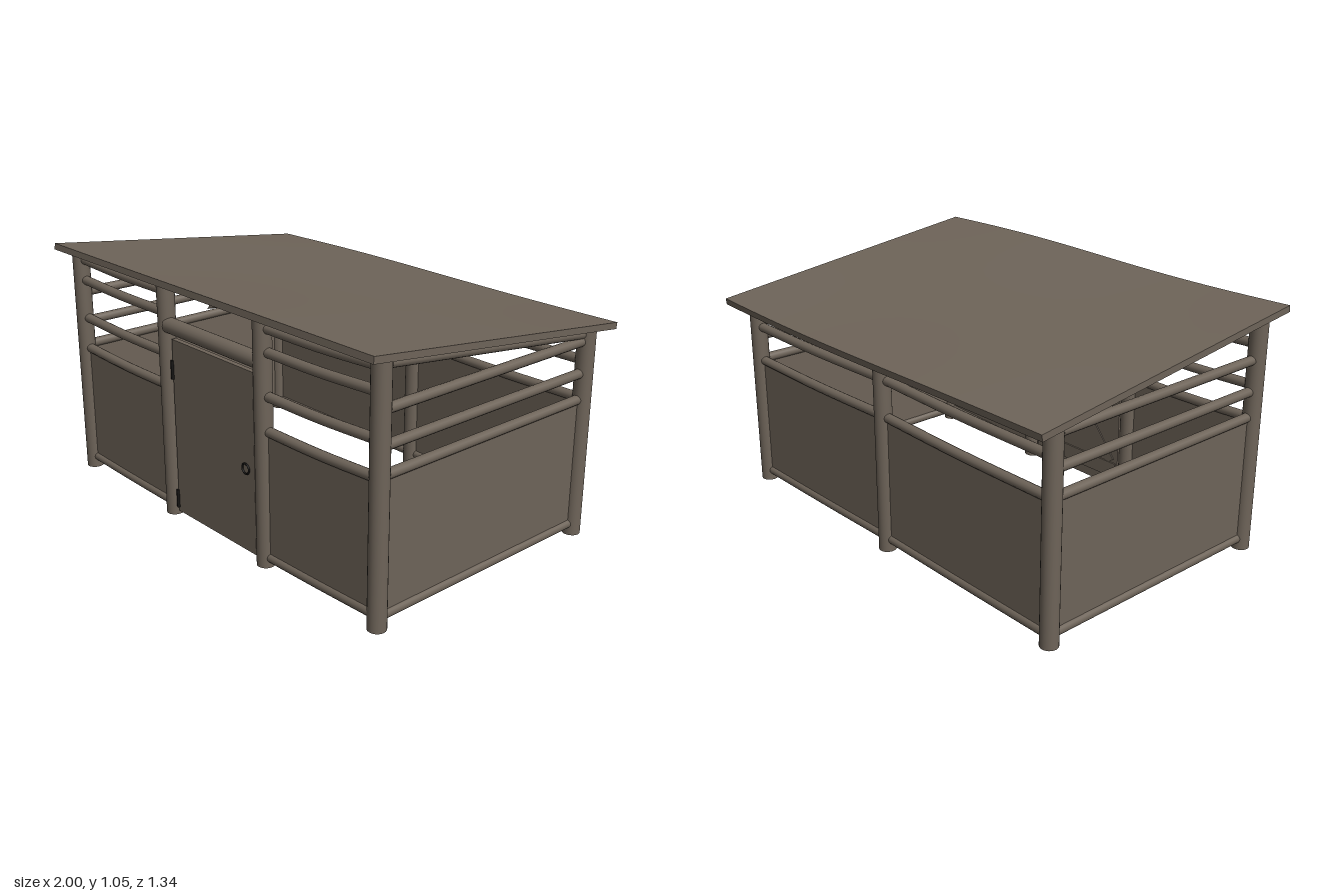
import * as THREE from 'three';

export function createModel() {
  const model = new THREE.Group();
  const wood = new THREE.MeshStandardMaterial({ color: 0x6e6459 });
  wood.name = 'weathered wood';
  const iron = new THREE.MeshStandardMaterial({ color: 0x141312 });
  iron.name = 'black iron';

  const FRONT = 0.577, BACK = -0.533, LEFT = 0.953, RIGHT = -0.925, MID = 0.035;
  const DOOR_R = -0.28, DOOR_L = 0.333, SLOPE = 0.1236;
  const roofUnder = z => 0.939 + SLOPE * z;

  const add = (name, geometry, material = wood, x = 0, y = 0, z = 0) => {
    const mesh = new THREE.Mesh(geometry, material);
    mesh.name = name;
    mesh.position.set(x, y, z);
    model.add(mesh);
    return mesh;
  };
  const box = (name, w, h, d, x, y, z, mat) => add(name, new THREE.BoxGeometry(w, h, d), mat, x, y, z);

  // Straight or gently sagging pole between two points
  const pole = (name, a, b, radius = 0.02, sag = 0) => {
    const p = new THREE.Vector3(...a), q = new THREE.Vector3(...b);
    const m = p.clone().lerp(q, 0.5);
    m.y -= sag;
    const path = new THREE.CatmullRomCurve3([p, m, q]);
    add(name, new THREE.TubeGeometry(path, sag ? 10 : 1, radius, 14));
  };

  // Upright posts
  const posts = [[RIGHT, FRONT], [DOOR_R, FRONT], [DOOR_L, FRONT], [LEFT, FRONT],
    [RIGHT, BACK], [MID, BACK], [LEFT, BACK]];
  for (const [x, z] of posts) {
    const h = roofUnder(z) + 0.006;
    add('post', new THREE.CylinderGeometry(0.037, 0.037, h, 24), wood, x, h / 2, z);
  }

  // Front and back bays: a panel framed by rails, with open rails above
  const bay = (name, x0, x1, z, heights, rise) => {
    heights.forEach((y, i) => pole(name + 'Rail', [x0, y - rise / 2, z], [x1, y + rise / 2, z], 0.02, i ? 0.006 : 0.002));
    const top = heights[1];
    box(name + 'Panel', x1 - x0, top - heights[0], 0.014, (x0 + x1) / 2, (top + heights[0]) / 2, z);
  };
  const frontRails = [0.048, 0.575, 0.715, 0.887, 0.978];
  const backRails = [0.05, 0.592, 0.75, 0.853];
  bay('frontRight', RIGHT, DOOR_R, FRONT, frontRails, -0.008);
  bay('frontLeft', DOOR_L, LEFT, FRONT, frontRails, 0.016);
  bay('backRight', RIGHT, MID, BACK, backRails, 0.008);
  bay('backLeft', MID, LEFT, BACK, backRails, -0.008);

  // Side walls: level rails, one sloping rail below the roof, and a panel
  for (const x of [RIGHT, LEFT]) {
    for (const y of [0.048, 0.589, 0.698, 0.83]) pole('sideRail', [x, y, BACK], [x, y, FRONT]);
    pole('sideTopRail', [x, roofUnder(BACK) - 0.016, BACK], [x, roofUnder(FRONT) - 0.016, FRONT]);
    box('sidePanel', 0.014, 0.54, FRONT - BACK, x, 0.32, (FRONT + BACK) / 2);
  }

  // Roof timbers
  pole('rafter', [MID, roofUnder(BACK) - 0.014, BACK], [MID, roofUnder(FRONT) - 0.014, FRONT + 0.03]);
  pole('purlin', [RIGHT, roofUnder(0) - 0.016, 0], [LEFT, roofUnder(0) - 0.016, 0]);

  // Sloping roof slab with slightly uneven edges
  const roof = new THREE.BoxGeometry(2, 0.027, 1.328, 24, 1, 8);
  const pos = roof.attributes.position;
  for (let i = 0; i < pos.count; i++) {
    const x = pos.getX(i), z = pos.getZ(i), t = z / 0.664;
    const edge = t > 0 ? 0.01 * Math.sin(Math.PI * x) : -0.014 * Math.cos(Math.PI * x / 2);
    pos.setZ(i, z + edge * Math.abs(t));
    pos.setY(i, pos.getY(i) + 0.004 * Math.sin(Math.PI * x) * t);
  }
  roof.rotateX(-Math.atan(SLOPE));
  roof.computeVertexNormals();
  add('roof', roof, wood, 0, 0.954, 0);

  // Lintel log with tapered ends
  const lintel = [[0, -0.315], [0.012, -0.315], [0.033, -0.285], [0.033, 0.285], [0.012, 0.315], [0, 0.315]]
    .map(p => new THREE.Vector2(...p));
  const lintelGeo = new THREE.LatheGeometry(lintel, 20);
  lintelGeo.rotateZ(Math.PI / 2);
  add('lintel', lintelGeo, wood, 0.026, 0.838, FRONT + 0.006);

  // Door leaf with inner ledges and a diagonal brace
  const doorX = 0.026;
  box('door', 0.52, 0.763, 0.022, doorX, 0.403, FRONT);
  for (const y of [0.1, 0.7]) box('doorLedge', 0.5, 0.07, 0.008, doorX, y, FRONT - 0.014);
  const brace = box('doorBrace', 0.68, 0.05, 0.006, doorX, 0.4, FRONT - 0.013);
  brace.rotation.z = Math.atan2(0.53, 0.44);

  // Iron hinges and ring handles
  for (const y of [0.08, 0.655]) {
    add('hinge', new THREE.CylinderGeometry(0.007, 0.007, 0.08, 10), iron, -0.234, y, FRONT + 0.014);
  }
  for (const z of [FRONT + 0.016, FRONT - 0.016]) {
    add('ringHandle', new THREE.TorusGeometry(0.021, 0.004, 8, 24), iron, 0.237, 0.378, z);
  }

  return model;
}
